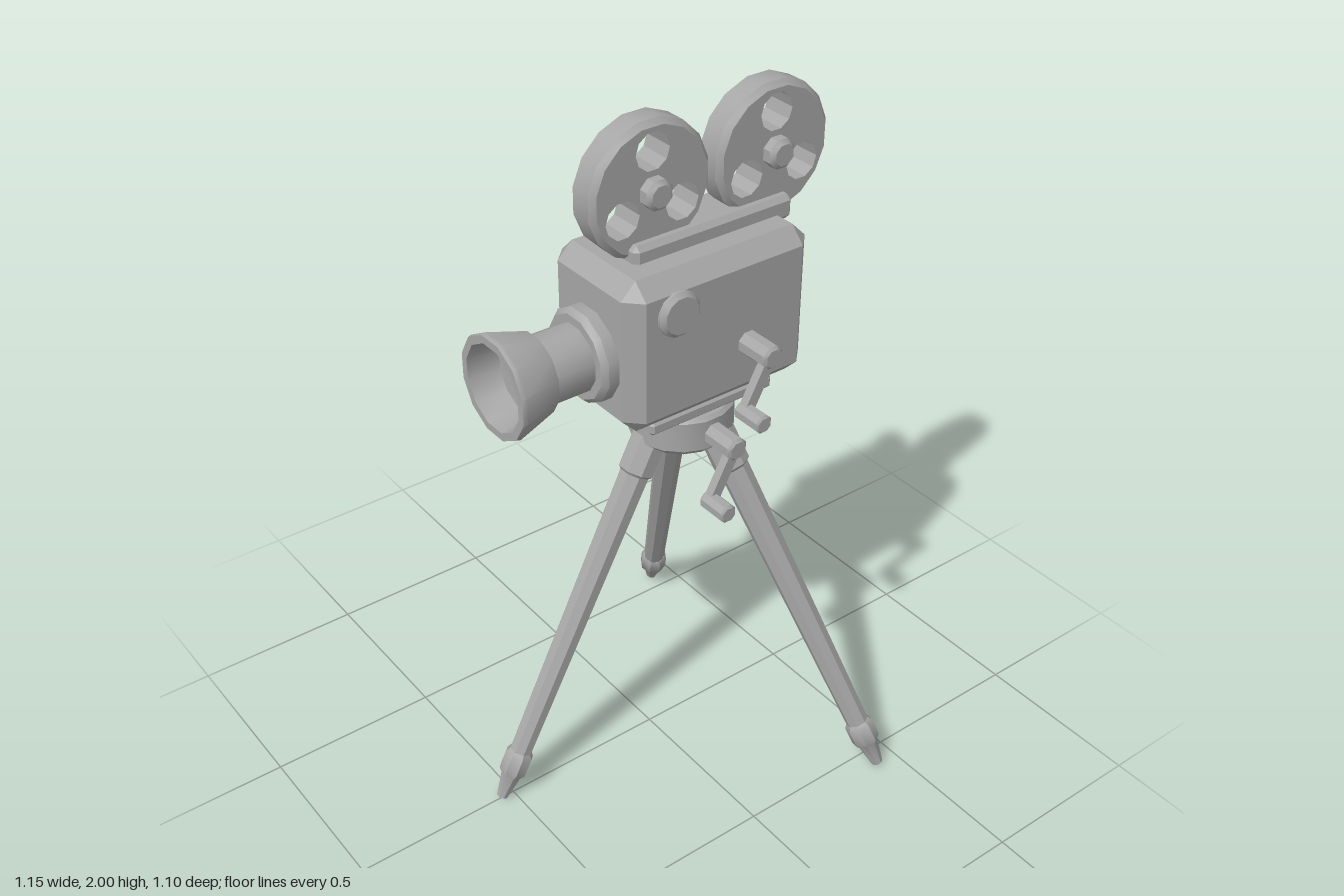
import * as THREE from 'three';
import { toCreasedNormals } from 'three/addons/utils/BufferGeometryUtils.js';
import { ConvexGeometry } from 'three/addons/geometries/ConvexGeometry.js';

const grey = new THREE.MeshStandardMaterial({ color: 0xa6a6a6 });
grey.name = 'grey';

function part(parent, name, geometry, x = 0, y = 0, z = 0) {
  const mesh = new THREE.Mesh(geometry, grey);
  mesh.name = name;
  mesh.position.set(x, y, z);
  parent.add(mesh);
  return mesh;
}

// Turned part: [radius, height] pairs from bottom to top, laid along an axis
function turned(points, sides, axis = 'y') {
  const profile = points.map(([r, h]) => new THREE.Vector2(r, h));
  const g = toCreasedNormals(new THREE.LatheGeometry(profile, sides, Math.PI / sides), 0.6);
  if (axis === 'x') g.rotateZ(-Math.PI / 2);
  if (axis === 'z') g.rotateX(Math.PI / 2);
  return g;
}

// Solid cylinder from a to b with bevelled ends
function rod(r, a, b, sides, axis, c = 0.01) {
  return turned([[0, a], [r - c, a], [r, a + c], [r, b - c], [r - c, b], [0, b]], sides, axis);
}

// Box with all edges cut off by c
function chamferBox(w, h, d, c) {
  const pts = [];
  for (const sx of [-1, 1]) for (const sy of [-1, 1]) for (const sz of [-1, 1]) {
    const x = sx * w / 2, y = sy * h / 2, z = sz * d / 2;
    pts.push(new THREE.Vector3(x, y - sy * c, z - sz * c));
    pts.push(new THREE.Vector3(x - sx * c, y, z - sz * c));
    pts.push(new THREE.Vector3(x - sx * c, y - sy * c, z));
  }
  return new ConvexGeometry(pts);
}

// Film reel with three round openings, a bevelled rim and a hub
function reel(parent, name, z) {
  const g = new THREE.Group();
  g.name = name;
  g.position.set(0, 1.815, z);
  const sides = 16, r = 0.187, inner = 0.172;
  const outline = [];
  for (let i = 0; i < sides; i++) {
    const a = (i + 0.5) / sides * Math.PI * 2;
    outline.push(new THREE.Vector2(Math.cos(a) * inner, Math.sin(a) * inner));
  }
  const shape = new THREE.Shape(outline);
  for (let i = 0; i < 3; i++) {
    const a = Math.PI / 2 + i * Math.PI * 2 / 3;
    shape.holes.push(new THREE.Path().absarc(Math.cos(a) * 0.106, Math.sin(a) * 0.106, 0.052, 0, Math.PI * 2));
  }
  const disc = new THREE.ExtrudeGeometry(shape, { depth: 0.094, bevelEnabled: false, curveSegments: 5 });
  disc.translate(0, 0, -0.047).rotateY(Math.PI / 2);
  part(g, 'reelDisc', disc);
  part(g, 'reelRim', turned([[inner, -0.047], [r, -0.031], [r, 0.031], [inner, 0.047]], sides, 'x'));
  part(g, 'reelHub', rod(0.043, -0.085, 0.085, 8, 'x', 0.012));
  parent.add(g);
}

// Hand crank: shaft, slanted arm and grip
function crank(parent, name, x, y, z, shaftLength) {
  const g = new THREE.Group();
  g.name = name;
  g.position.set(x, y, z);
  const dy = -0.142, dz = 0.076;
  part(g, 'crankShaft', rod(0.034, -shaftLength, 0, 8, 'x', 0.008));
  const arm = part(g, 'crankArm', new THREE.BoxGeometry(0.026, Math.hypot(dy, dz), 0.032), -0.02, dy / 2, dz / 2);
  arm.rotation.x = Math.atan2(dz, dy) + Math.PI;
  part(g, 'crankGrip', rod(0.027, -0.036, 0.06, 8, 'x', 0.006), 0, dy, dz);
  parent.add(g);
}

export function createModel() {
  const model = new THREE.Group();
  model.name = 'filmCamera';

  // Camera body and reel mount
  part(model, 'body', chamferBox(0.36, 0.44, 0.594, 0.045), 0, 1.425, -0.107);
  part(model, 'reelMount', chamferBox(0.152, 0.07, 0.515, 0.014), 0, 1.655, -0.157);
  reel(model, 'frontReel', 0.025);
  reel(model, 'rearReel', -0.367);

  // Lens: flange, barrel and hollow hood
  part(model, 'lensFlange', turned([[0, 0.17], [0.132, 0.17], [0.132, 0.222], [0.118, 0.238], [0, 0.238]], 12, 'z'), 0, 1.397, 0);
  part(model, 'lensBarrel', turned([[0.094, 0.22], [0.094, 0.37]], 12, 'z'), 0, 1.397, 0);
  part(model, 'lensHood', turned([
    [0, 0.358], [0.11, 0.358], [0.145, 0.475], [0.142, 0.486], [0.12, 0.486], [0.102, 0.4], [0, 0.39],
  ], 12, 'z'), 0, 1.397, 0);

  // Side knob, viewfinder and cranks
  part(model, 'sideKnob', rod(0.064, 0.16, 0.2, 12, 'x', 0.012), 0, 1.542, 0.047);
  const finder = new THREE.Group();
  finder.name = 'viewfinder';
  finder.position.set(-0.213, 1.505, 0);
  part(finder, 'finderTube', rod(0.043, -0.315, 0.01, 8, 'z', 0.012));
  part(finder, 'finderNeck', rod(0.037, -0.43, -0.3, 8, 'z', 0.004));
  part(finder, 'eyecup', rod(0.06, -0.485, -0.42, 8, 'z', 0.013));
  model.add(finder);
  crank(model, 'bodyCrank', 0.286, 1.375, -0.185, 0.13);
  crank(model, 'tripodCrank', 0.248, 1.1, -0.108, 0.13);

  // Tripod head
  const tripod = new THREE.Group();
  tripod.name = 'tripod';
  tripod.position.z = -0.107;
  part(tripod, 'mountPlate', chamferBox(0.28, 0.042, 0.41, 0.01), 0, 1.186, 0);
  part(tripod, 'headNeck', rod(0.12, 1.14, 1.175, 16, 'y', 0.003));
  part(tripod, 'head', turned([
    [0, 1.04], [0.128, 1.04], [0.148, 1.06], [0.148, 1.148], [0.138, 1.158], [0, 1.158],
  ], 16));

  // Three splayed legs, each with top socket and pointed foot
  const tilt = Math.atan2(0.566, 1.1);
  for (let i = 0; i < 3; i++) {
    const spin = new THREE.Group();
    spin.name = 'leg' + (i + 1);
    spin.rotation.y = i * Math.PI * 2 / 3;
    const leg = new THREE.Group();
    leg.position.z = 0.649;
    leg.rotation.x = -tilt;
    part(leg, 'legFoot', turned([
      [0, 0.009], [0.017, 0.009], [0.031, 0.085], [0.042, 0.1], [0.042, 0.155], [0.034, 0.168], [0, 0.168],
    ], 8));
    part(leg, 'legTube', turned([[0.033, 0.15], [0.044, 1.1]], 8));
    part(leg, 'legSocket', rod(0.052, 1.075, 1.2, 8, 'y', 0.009));
    spin.add(leg);
    tripod.add(spin);
  }
  model.add(tripod);
  return model;
}
